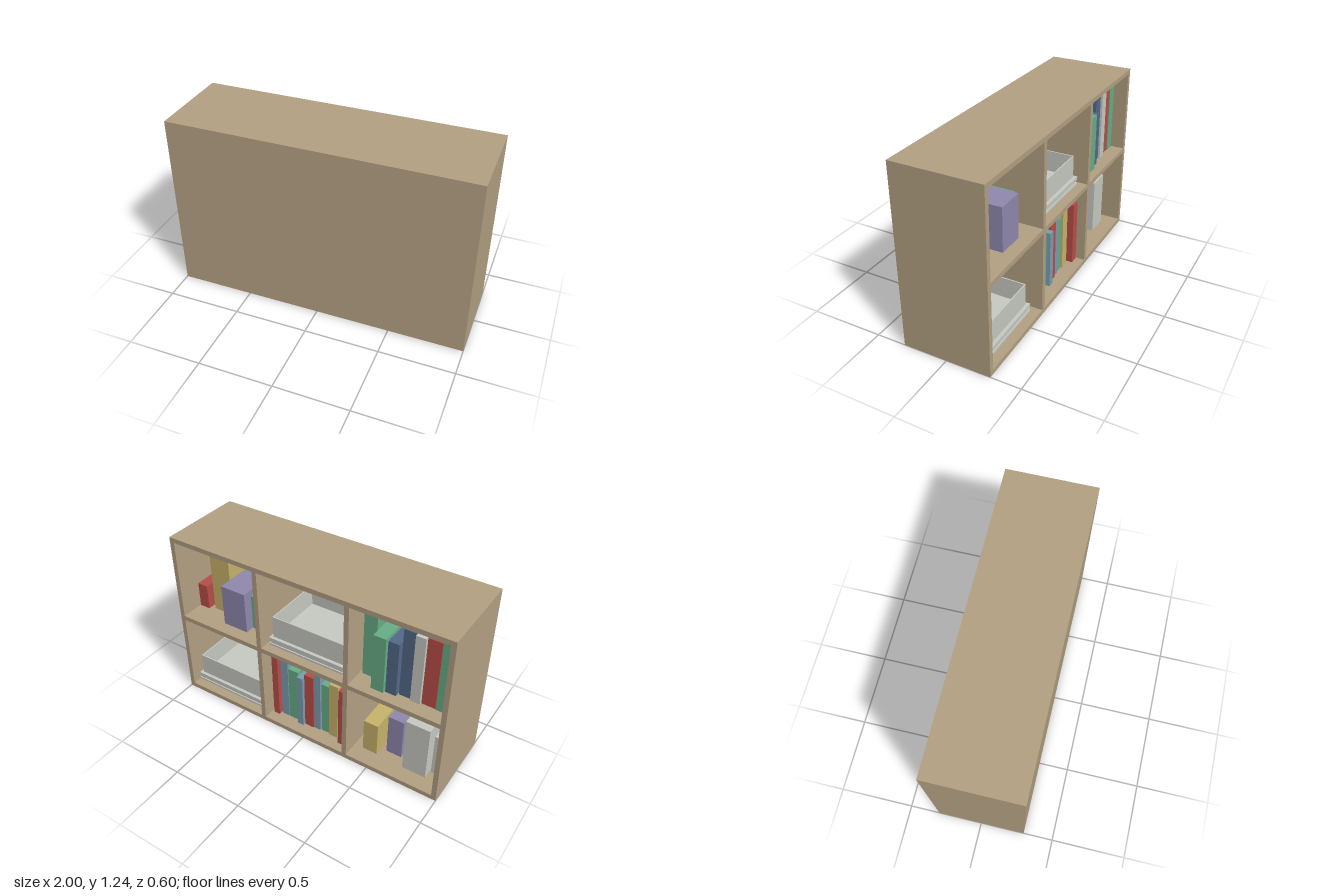
import * as THREE from 'three';

const mat = (name, color) => {
  const m = new THREE.MeshStandardMaterial({ color });
  m.name = name;
  return m;
};

export function createModel() {
  const M = {
    wood: mat('wood', 0xb5a284),
    grey: mat('lightGrey', 0xc9cbc4),
    red: mat('red', 0xbb4e49),
    yellow: mat('yellow', 0xc9b56c),
    purple: mat('purple', 0x928ab0),
    green: mat('green', 0x68af89),
    navy: mat('navy', 0x556a8a),
    steel: mat('steelBlue', 0x7d9fb3),
  };
  const model = new THREE.Group();
  model.name = 'bookcase';

  // Box given by its limits on each axis
  function box(parent, name, material, x0, x1, y0, y1, z0, z1) {
    const mesh = new THREE.Mesh(new THREE.BoxGeometry(x1 - x0, y1 - y0, z1 - z0), material);
    mesh.position.set((x0 + x1) / 2, (y0 + y1) / 2, (z0 + z1) / 2);
    mesh.name = name;
    parent.add(mesh);
  }

  // Cabinet, open towards -z and closed by a thin panel at +z
  const H = 1.24, T = 0.033, D = 0.3, PANEL = 0.012;
  const inner = D - PANEL;
  const lowFloor = T, highFloor = (H + T) / 2;
  const cabinet = new THREE.Group();
  cabinet.name = 'cabinet';
  model.add(cabinet);
  box(cabinet, 'closedPanel', M.wood, -1, 1, 0, H, inner, D);
  box(cabinet, 'topBoard', M.wood, -1, 1, H - T, H, -D, inner);
  box(cabinet, 'bottomBoard', M.wood, -1, 1, 0, T, -D, inner);
  for (const s of [-1, 1]) {
    box(cabinet, 'sideBoard', M.wood, s * (1 - T / 2) - T / 2, s * (1 - T / 2) + T / 2, T, H - T, -D, inner);
    const c = s * (2 - T) / 6;
    box(cabinet, 'divider', M.wood, c - T / 2, c + T / 2, T, H - T, -D, inner);
  }
  for (const i of [-1, 0, 1]) {
    const c = i * (2 - T) / 3, w = (2 - 4 * T) / 6;
    box(cabinet, 'middleShelf', M.wood, c - w, c + w, highFloor - T, highFloor, -D, inner);
  }

  // Upright items: u runs from the +x side, inset from the open face
  // [colour, u start, u end, inset, height, depth]
  function items(name, floor, list) {
    const group = new THREE.Group();
    group.name = name;
    model.add(group);
    for (const [color, u0, u1, inset, h, depth = 0.38] of list)
      box(group, color + 'Book', M[color], 1 - u1, 1 - u0, floor, floor + h, inset - D, inset - D + depth);
  }
  items('upperLeftBoxes', highFloor, [
    ['red', 0.037, 0.114, 0.164, 0.18, 0.2],
    ['yellow', 0.147, 0.303, 0.19, 0.458, 0.215],
    ['purple', 0.317, 0.505, 0.087, 0.296, 0.42],
    ['green', 0.51, 0.58, 0.15, 0.256, 0.3],
  ]);
  items('upperRightBooks', highFloor, [
    ['green', 1.36, 1.45, 0.15, 0.48],
    ['green', 1.474, 1.56, 0.057, 0.4],
    ['navy', 1.565, 1.637, 0.074, 0.383],
    ['navy', 1.645, 1.72, 0.1, 0.485],
    ['grey', 1.725, 1.79, 0.087, 0.48],
    ['red', 1.793, 1.884, 0.102, 0.482],
    ['green', 1.888, 1.963, 0.098, 0.538],
  ]);
  items('lowerMiddleBooks', lowFloor, [
    ['red', 0.708, 0.755, 0.075, 0.513],
    ['steel', 0.762, 0.82, 0.1, 0.483],
    ['green', 0.825, 0.904, 0.1, 0.424],
    ['steel', 0.91, 0.955, 0.075, 0.41],
    ['red', 0.958, 1.028, 0.094, 0.438],
    ['steel', 1.03, 1.079, 0.1, 0.496],
    ['green', 1.085, 1.146, 0.108, 0.408],
    ['yellow', 1.15, 1.218, 0.098, 0.446],
    ['red', 1.242, 1.303, 0.063, 0.459],
  ]);
  items('lowerRightBoxes', lowFloor, [
    ['yellow', 1.406, 1.51, 0.116, 0.245, 0.26],
    ['purple', 1.55, 1.66, 0.178, 0.305, 0.28],
    ['grey', 1.705, 1.87, 0.107, 0.404, 0.3],
    ['grey', 1.88, 1.955, 0.17, 0.315, 0.28],
  ]);

  // Open tray resting on a stack of flat sheets
  function tray(name, u, floor) {
    const g = new THREE.Group();
    g.name = name;
    g.position.set(1 - u, floor, 0.01);
    model.add(g);
    const w = 0.27, d = 0.222, y0 = 0.058, y1 = 0.212, t = 0.008;
    [0.288, 0.28, 0.286, 0.288].forEach((hw, i) =>
      box(g, 'flatSheet', M.grey, -hw, hw, i * 0.0145, (i + 1) * 0.0145, -hw + 0.043, hw - 0.043));
    box(g, 'trayFloor', M.grey, -w, w, y0, y0 + t, -d, d);
    for (const s of [-1, 1]) {
      const x = s * (w - t / 2), z = s * (d - t / 2);
      box(g, 'traySide', M.grey, x - t / 2, x + t / 2, y0 + t, y1, -d, d);
      box(g, 'trayEnd', M.grey, -w + t, w - t, y0 + t, y1, z - t / 2, z + t / 2);
    }
  }
  tray('upperTray', 0.996, highFloor);
  tray('lowerTray', 0.324, lowFloor);

  return model;
}
